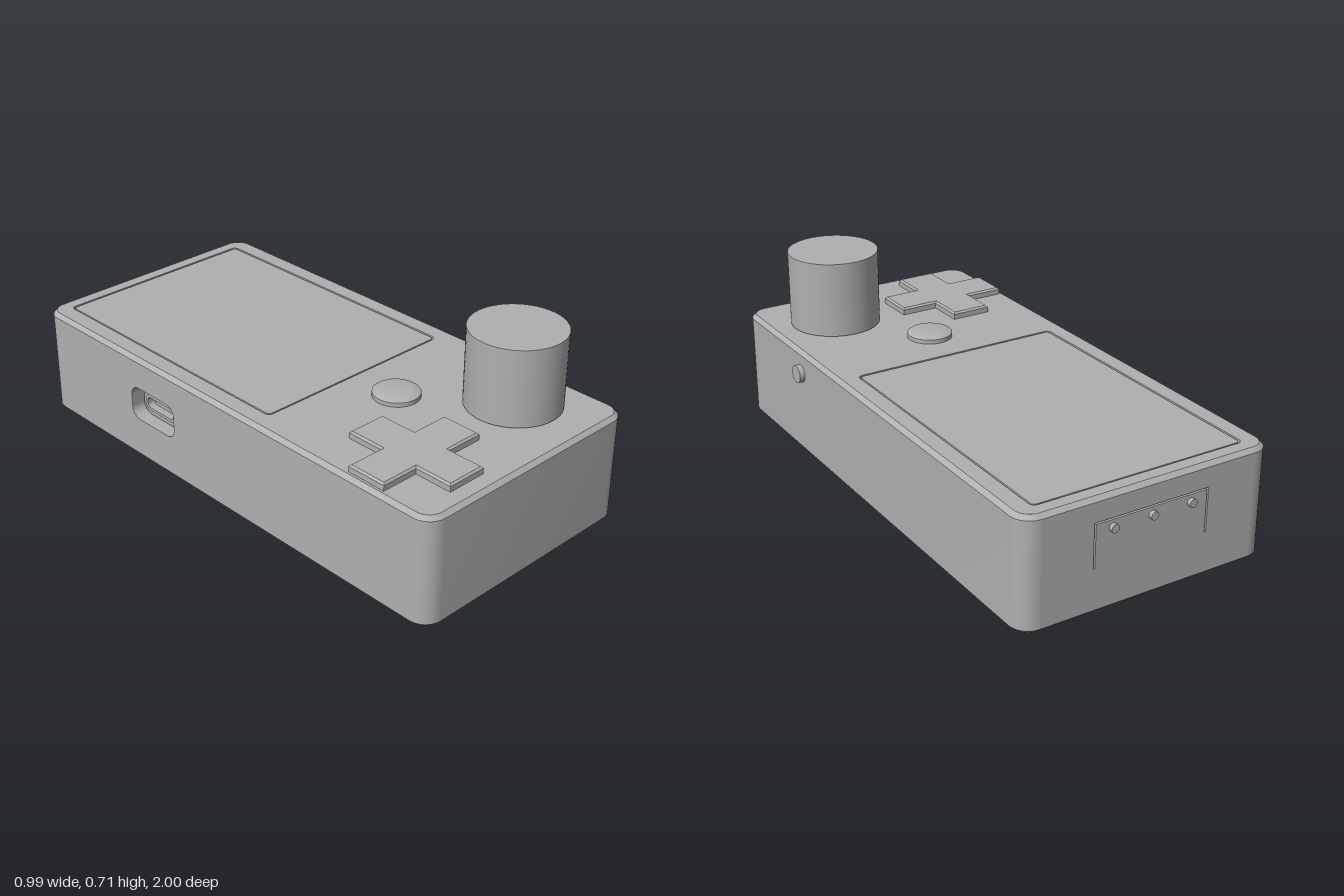
import * as THREE from 'three';
import { toCreasedNormals, mergeGeometries } from 'three/addons/utils/BufferGeometryUtils.js';

const CX = -0.01, CZ = 0.0075;      // centre of the case in plan
const W = 0.97, D = 1.985, H = 0.415; // case size
const R = 0.07, BEVEL = 0.015;

// Rounded rectangle centred on (cx, cy); works on Shape and Path
function roundRect(cx, cy, w, h, r, Type = THREE.Shape) {
  const s = new Type(), x = w / 2 - r, y = h / 2 - r;
  s.absarc(cx + x, cy - y, r, -Math.PI / 2, 0);
  s.absarc(cx + x, cy + y, r, 0, Math.PI / 2);
  s.absarc(cx - x, cy + y, r, Math.PI / 2, Math.PI);
  s.absarc(cx - x, cy - y, r, Math.PI, Math.PI * 1.5);
  s.closePath();
  return s;
}

const polygon = (pts, Type = THREE.Shape) => new Type(pts.map(([x, y]) => new THREE.Vector2(x, y)));
const disc = (x, y, r, Type = THREE.Shape) => new Type().absarc(x, y, r, 0, Math.PI * 2);

function extrude(shape, depth) {
  return new THREE.ExtrudeGeometry(shape, { depth, bevelEnabled: false, curveSegments: 10 });
}

// Horizontal slab between two heights; plan shapes are drawn with y = -z
function slab(shape, y0, y1) {
  return extrude(shape, y1 - y0).rotateX(-Math.PI / 2).translate(0, y0, 0);
}

// Outline of the case in plan, as corner arcs of n + 1 points each
function outline(inset) {
  const n = 8, r = R - inset, pts = [];
  const corners = [[1, 1], [-1, 1], [-1, -1], [1, -1]];
  corners.forEach(([sx, sz], c) => {
    for (let i = 0; i <= n; i++) {
      const a = (c + i / n) * Math.PI / 2;
      pts.push([CX + sx * (W / 2 - R) + r * Math.cos(a), CZ + sz * (D / 2 - R) + r * Math.sin(a)]);
    }
  });
  return pts;
}

// Bevels and walls, leaving the back and -x flats open for separate panels
function caseWalls() {
  const rows = [[BEVEL, 0], [0, BEVEL], [0, H - BEVEL], [BEVEL, H]];
  const loops = rows.map(([inset, y]) => outline(inset).map(([x, z]) => [x, y, z]));
  const pos = [], count = loops[0].length;
  for (let b = 0; b < 3; b++) {
    for (let i = 0; i < count; i++) {
      if (b === 1 && (i === 17 || i === 26)) continue;
      const j = (i + 1) % count;
      const p = loops[b][i], q = loops[b][j], s = loops[b + 1][j], t = loops[b + 1][i];
      pos.push(...p, ...t, ...q, ...q, ...t, ...s);
    }
  }
  const g = new THREE.BufferGeometry();
  g.setAttribute('position', new THREE.Float32BufferAttribute(pos, 3));
  return toCreasedNormals(g, 0.5);
}

export function createModel() {
  const model = new THREE.Group();
  const gray = new THREE.MeshStandardMaterial({ color: 0xb0b0b0, side: THREE.DoubleSide });
  gray.name = 'plain gray';
  const add = (name, geometry, x = 0, y = 0, z = 0) => {
    const m = new THREE.Mesh(geometry, gray);
    m.name = name;
    m.position.set(x, y, z);
    model.add(m);
    return m;
  };
  const wallH = H - 2 * BEVEL, midY = H / 2;

  // Case
  add('caseWalls', caseWalls());

  // Top face with the screen opening, and the flush screen inside it
  const plan = () => roundRect(CX, -CZ, W - 2 * BEVEL, D - 2 * BEVEL, R - BEVEL);
  const top = plan();
  top.holes.push(roundRect(-0.01, 0.3625, 0.82, 1.125, 0.02, THREE.Path));
  add('topFace', slab(top, H - 0.02, H));
  add('screen', slab(roundRect(-0.01, 0.3625, 0.806, 1.111, 0.014), H - 0.02, H - 0.001));

  // Bottom face with four screw wells
  const screws = [[0.41, -0.93], [-0.435, -0.93], [0.4, 0.93], [-0.435, 0.48]];
  const bottom = plan();
  screws.forEach(([x, z]) => bottom.holes.push(disc(x, -z, 0.034, THREE.Path)));
  add('bottomFace', slab(bottom, 0, 0.015));
  const well = [[0.034, 0.005], [0.034, 0.09], [0, 0.09]].map(([x, y]) => new THREE.Vector2(x, y));
  const wellGeometry = toCreasedNormals(new THREE.LatheGeometry(well, 20), 0.5);
  screws.forEach(([x, z]) => add('screwWell', wellGeometry, x, 0, z));

  // Back panel with a slit cut around the flexible tab
  const back = polygon([
    [CX - W / 2 + R, BEVEL], [CX + W / 2 - R, BEVEL],
    [CX + W / 2 - R, H - BEVEL], [CX - W / 2 + R, H - BEVEL]]);
  const l = -0.235, r = 0.21, t = 0.328, b = 0.165, g = 0.006;
  back.holes.push(polygon([
    [l, b], [l, t], [r, t], [r, b], [r - g, b], [r - g, t - g], [l + g, t - g], [l + g, b]], THREE.Path));
  add('backPanel', extrude(back, 0.04), 0, 0, CZ - D / 2);

  // Small pins on the tab
  const pin = new THREE.CylinderGeometry(0.015, 0.015, 0.03, 16).rotateX(Math.PI / 2);
  [-0.165, -0.0125, 0.14].forEach(x => add('backPin', pin, x, 0.295, -0.985));

  // Side panel with the port opening
  const side = polygon([
    [CZ - D / 2 + R, BEVEL], [CZ + D / 2 - R, BEVEL],
    [CZ + D / 2 - R, H - BEVEL], [CZ - D / 2 + R, H - BEVEL]]);
  side.holes.push(roundRect(-0.345, 0.23, 0.24, 0.13, 0.04, THREE.Path));
  add('sidePanel', extrude(side, 0.055).rotateY(-Math.PI / 2), CX - W / 2 + 0.055);

  // Port connector inside the opening
  const port = roundRect(-0.345, 0.23, 0.17, 0.065, 0.025);
  port.holes.push(roundRect(-0.345, 0.23, 0.145, 0.042, 0.016, THREE.Path));
  add('portConnector', extrude(port, 0.03).rotateY(-Math.PI / 2), -0.43);

  // Inner block behind the openings
  add('innerBlock', new THREE.BoxGeometry(0.84, 0.285, 1.88), -0.01, 0.2425, 0);

  // Round button on the +x side
  const sideButton = new THREE.CylinderGeometry(0.034, 0.034, 0.05, 32).rotateZ(Math.PI / 2);
  add('sideButton', sideButton, 0.47, 0.327, 0.515);

  // Direction pad: a cross with bevelled upper edges
  const a = 0.214, c = 0.07;
  const cross = polygon([
    [-c, -a], [c, -a], [c, -c], [a, -c], [a, c], [c, c],
    [c, a], [-c, a], [-c, c], [-a, c], [-a, -c], [-c, -c]]);
  const pad = new THREE.ExtrudeGeometry(cross, {
    depth: 0.03, bevelEnabled: true, bevelThickness: 0.007, bevelSize: 0.007, bevelSegments: 1 });
  add('directionPad', pad.rotateX(-Math.PI / 2), -0.25, 0.405, 0.708);

  // Slightly domed button
  const dome = [[0.085, -0.01], [0.085, 0.016], [0.078, 0.021], [0.055, 0.025], [0.028, 0.027], [0, 0.028]]
    .map(([x, y]) => new THREE.Vector2(x, y));
  add('roundButton', toCreasedNormals(new THREE.LatheGeometry(dome, 40), 0.5), -0.01, H, 0.395);

  // Tall knob on a short stem
  const knob = mergeGeometries([
    new THREE.CylinderGeometry(0.171, 0.171, 0.286, 56).translate(0, 0.566, 0),
    new THREE.CylinderGeometry(0.108, 0.108, 0.03, 40).translate(0, 0.415, 0)]);
  add('knob', knob, 0.229, 0, 0.71);

  return model;
}
